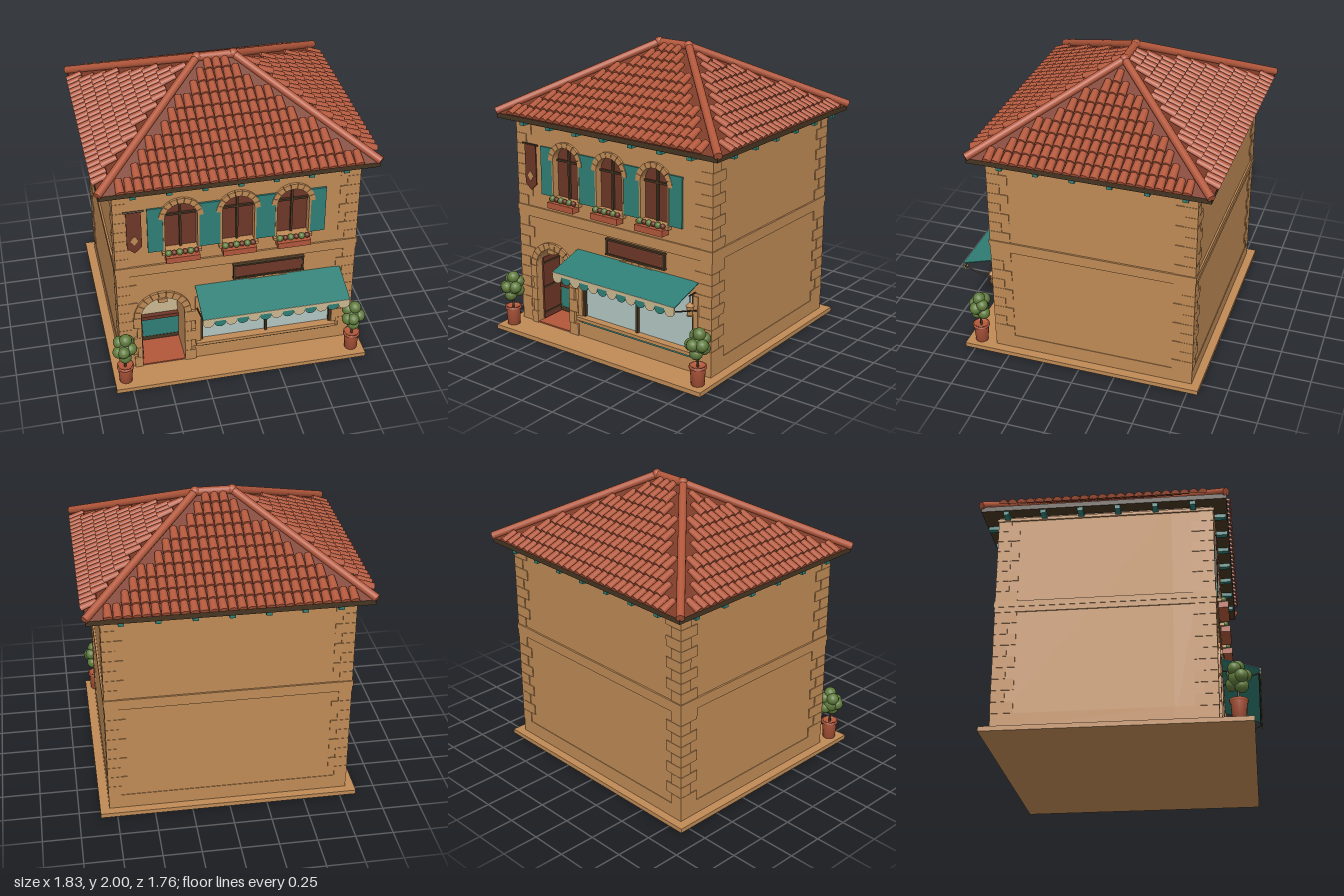
import * as THREE from 'three';
import { mergeGeometries } from 'three/addons/utils/BufferGeometryUtils.js';

const mat = (name, color, side = THREE.FrontSide) => {
  const m = new THREE.MeshStandardMaterial({ color, side });
  m.name = name;
  return m;
};

export function createModel() {
  const root = new THREE.Group();
  root.name = 'cornerShopHouse';
  const stone = mat('tan stone', 0xc08b56);
  const tile = mat('terracotta', 0xb2573b);
  const underTile = mat('dark terracotta', 0x7d3b28);
  const wood = mat('dark wood', 0x463522);
  const teal = mat('teal paint', 0x2f7f76);
  const maroon = mat('maroon', 0x6e3628);
  const glass = mat('pale glass', 0xb3c6c2);
  const cream = mat('cream', 0xcab790);
  const leaf = mat('leaf green', 0x5f7a3c);

  const add = (name, geo, m, x = 0, y = 0, z = 0) => {
    const mesh = new THREE.Mesh(geo, m);
    mesh.name = name;
    mesh.position.set(x, y, z);
    root.add(mesh);
    return mesh;
  };
  // Box from its minimum and maximum corners
  const box = (name, m, x0, x1, y0, y1, z0, z1) =>
    add(name, new THREE.BoxGeometry(x1 - x0, y1 - y0, z1 - z0), m, (x0 + x1) / 2, (y0 + y1) / 2, (z0 + z1) / 2);
  const extrude = (name, m, shape, z, depth) =>
    add(name, new THREE.ExtrudeGeometry(shape, { depth, bevelEnabled: false, curveSegments: 16 }), m, 0, 0, z);
  const rod = (name, m, a, b, r, sides = 12) => {
    const A = new THREE.Vector3(...a), d = new THREE.Vector3(...b).sub(A);
    const mesh = add(name, new THREE.CylinderGeometry(r, r, d.length(), sides), m);
    mesh.position.copy(A).addScaledVector(d, 0.5);
    mesh.quaternion.setFromUnitVectors(new THREE.Vector3(0, 1, 0), d.normalize());
    return mesh;
  };
  const ball = (name, m, r, x, y, z) => add(name, new THREE.SphereGeometry(r, 14, 10), m, x, y, z);
  const polygon = pts => new THREE.Shape(pts.map(p => new THREE.Vector2(...p)));
  const arch = (cx, hw, y0, spring) => {
    const s = new THREE.Shape();
    s.moveTo(cx - hw, y0);
    s.lineTo(cx + hw, y0);
    s.lineTo(cx + hw, spring);
    s.absarc(cx, spring, hw, 0, Math.PI, false);
    s.closePath();
    return s;
  };
  // Ring of wedge stones over an arch
  const voussoirs = (name, cx, cy, r0, r1, n, z, depth, from = 0, span = Math.PI) => {
    for (let i = 0; i < n; i++) {
      const a = from + span * (i + 0.03) / n, b = from + span * (i + 0.97) / n;
      const s = new THREE.Shape();
      s.absarc(cx, cy, r1, a, b, false);
      s.absarc(cx, cy, r0, b, a, true);
      s.closePath();
      extrude(name, stone, s, z, depth);
    }
  };

  // Ground slab and walls; the front wall is pierced
  const X = 0.795, ZB = -0.76, ZM = 0.35, ZF = 0.61;
  const winX = [-0.37, 0, 0.36];
  box('groundSlab', stone, -0.86, 0.86, 0, 0.03, -0.82, 0.82);
  box('wallBody', stone, -X, X, 0.03, 1.49, ZB, ZM);
  const front = polygon([[-X, 0.03], [X, 0.03], [X, 1.49], [-X, 1.49]]);
  front.holes.push(arch(-0.505, 0.145, 0.035, 0.455),
    polygon([[-0.25, 0.17], [0.665, 0.17], [0.665, 0.56], [-0.25, 0.56]]),
    ...winX.map(x => arch(x, 0.105, 0.97, 1.235)));
  extrude('frontWall', stone, front, ZM, ZF - ZM);

  // Plinth, floor band and cornice
  box('plinth', stone, -X - 0.004, X + 0.004, 0.03, 0.13, ZB - 0.004, ZM);
  box('plinthFront', stone, -X - 0.004, -0.66, 0.03, 0.13, ZM, ZF + 0.004);
  box('plinthFront', stone, -0.35, X + 0.004, 0.03, 0.13, ZM + 0.2, ZF + 0.004);
  box('plinthSide', stone, X - 0.05, X + 0.004, 0.03, 0.13, ZM, ZF);
  box('floorBand', stone, -X - 0.008, X + 0.008, 0.805, 0.84, ZB - 0.008, ZF + 0.008);
  box('floorBandCap', stone, -X - 0.012, X + 0.012, 0.84, 0.88, ZB - 0.012, ZF + 0.012);
  box('cornice', stone, -X - 0.012, X + 0.012, 1.455, 1.475, ZB - 0.012, ZF + 0.012);

  // Corner stones, alternating long and short
  for (const [y0, y1, n] of [[0.13, 0.805, 9], [0.88, 1.455, 8]])
    for (let i = 0; i < n; i++) {
      const h = (y1 - y0) / n, y = y0 + i * h, a = i % 2 ? 0.125 : 0.08, b = i % 2 ? 0.08 : 0.135, p = 0.006;
      for (const s of [-1, 1]) {
        const xa = s < 0 ? -X - p : X - a, xb = s < 0 ? -X + a : X + p;
        box('cornerStone', stone, xa, xb, y + 0.001, y + h - 0.001, ZF - b, ZF + p);
        box('cornerStone', stone, xa, xb, y + 0.001, y + h - 0.001, ZB - p, ZB + b);
      }
    }

  // Doorway: interior bands, floor, open leaf and stone surround
  const dx0 = -0.65, dx1 = -0.36;
  extrude('interiorWall', cream, arch(-0.505, 0.144, 0.25, 0.455), ZM + 0.001, 0.005);
  box('counterTop', maroon, dx0, dx1, 0.222, 0.25, ZM, ZM + 0.04);
  box('counter', teal, dx0, dx1, 0.07, 0.222, ZM, ZM + 0.03);
  box('counterBase', wood, dx0, dx1, 0.035, 0.07, ZM, ZM + 0.032);
  box('doorFloor', tile, dx0, dx1, 0.03, 0.039, ZM, ZF + 0.01);
  box('doorLeaf', maroon, dx0, dx0 + 0.012, 0.045, 0.5, ZM + 0.05, ZF - 0.04);
  for (const y of [0.08, 0.27, 0.45]) box('doorRail', wood, dx0 + 0.012, dx0 + 0.016, y, y + 0.015, ZM + 0.05, ZF - 0.04);
  voussoirs('doorArchStone', -0.505, 0.455, 0.145, 0.192, 11, ZF - 0.01, 0.028);
  box('doorKeystone', stone, -0.535, -0.475, 0.575, 0.605, ZF - 0.02, ZF + 0.03);
  for (let i = 0; i < 5; i++) {
    const y = 0.03 + i * 0.085, w = i % 2 ? 0.045 : 0.075;
    box('doorJambStone', stone, dx1, dx1 + w, y, y + 0.083, ZF - 0.01, ZF + 0.018);
    box('doorJambStone', stone, dx0 - w * 0.7, dx0, y, y + 0.083, ZF - 0.01, ZF + 0.018);
  }

  // Shop window
  box('shopGlass', glass, -0.25, 0.665, 0.17, 0.56, ZF - 0.03, ZF - 0.022);
  for (const x of [-0.242, 0.205, 0.655]) box('shopMullion', wood, x - 0.008, x + 0.008, 0.17, 0.56, ZF - 0.025, ZF);
  for (const x of [-0.268, 0.682]) box('shopJamb', stone, x - 0.018, x + 0.018, 0.18, 0.56, ZF - 0.01, ZF + 0.012);
  box('shopSill', stone, -0.285, 0.69, 0.155, 0.178, ZF - 0.02, ZF + 0.035);
  box('shopApron', teal, -0.25, 0.665, 0.132, 0.155, ZF, ZF + 0.012);
  voussoirs('reliefArchStone', 0.206, 0.13, 0.515, 0.542, 7, ZF - 0.005, 0.014, Math.PI / 2 - 0.37, 0.74);

  // Awning with scalloped valance and braces
  const ax0 = -0.285, ax1 = 0.7, n = 13, w = (ax1 - ax0) / n;
  const sheet = add('awningSheet', new THREE.BoxGeometry(ax1 - ax0, 0.006, Math.hypot(0.257, 0.08)), teal, (ax0 + ax1) / 2, 0.614, 0.74);
  sheet.rotation.x = Math.atan2(0.08, 0.257);
  box('valanceBand', cream, ax0, ax1, 0.555, 0.576, 0.864, 0.872);
  for (let i = 0; i < n; i++) {
    const s = new THREE.Shape(), cx = ax0 + (i + 0.5) * w;
    s.moveTo(cx + w / 2, 0.558);
    s.lineTo(cx - w / 2, 0.558);
    s.lineTo(cx - w / 2, 0.545);
    s.absarc(cx, 0.545, w / 2, Math.PI, Math.PI * 2, false);
    s.closePath();
    extrude('scallop', i % 2 ? teal : cream, s, 0.865, 0.006);
  }
  for (const x of [ax0 + 0.01, ax1 - 0.01]) rod('awningBrace', wood, [x, 0.465, ZF], [x, 0.545, 0.865], 0.005, 8);
  rod('awningBar', wood, [ax0, 0.548, 0.86], [ax1, 0.548, 0.86], 0.005, 8);

  // Wall lanterns
  for (const x of [-0.24, 0.675]) {
    rod('lanternBracket', wood, [x, 0.583, ZF], [x, 0.583, 0.68], 0.005, 8);
    rod('lanternHook', wood, [x, 0.54, 0.67], [x, 0.583, 0.67], 0.004, 6);
    add('lanternBody', new THREE.CylinderGeometry(0.022, 0.018, 0.06, 6), stone, x, 0.483, 0.67);
    add('lanternCap', new THREE.CylinderGeometry(0.005, 0.03, 0.025, 6), stone, x, 0.525, 0.67);
    add('lanternFoot', new THREE.CylinderGeometry(0.023, 0.023, 0.008, 6), stone, x, 0.45, 0.67);
  }

  // Blank sign board
  box('signPanel', maroon, -0.025, 0.44, 0.69, 0.785, ZF, ZF + 0.016);
  for (const y of [0.68, 0.783]) box('signRail', wood, -0.032, 0.447, y, y + 0.012, ZF, ZF + 0.024);
  for (const x of [-0.03, 0.433]) box('signStile', wood, x, x + 0.012, 0.685, 0.79, ZF, ZF + 0.022);
  for (const x of [0, 0.415]) for (const y of [0.705, 0.77]) ball('signStud', cream, 0.005, x, y, ZF + 0.016);

  // Upper windows with shutters and planters
  winX.forEach((x, k) => {
    extrude('windowPane', maroon, arch(x, 0.105, 0.97, 1.235), ZF - 0.045, 0.008);
    box('windowMullion', wood, x - 0.007, x + 0.007, 0.97, 1.335, ZF - 0.04, ZF - 0.02);
    box('windowTransom', wood, x - 0.104, x + 0.104, 1.23, 1.243, ZF - 0.04, ZF - 0.022);
    voussoirs('windowArchStone', x, 1.235, 0.105, 0.143, 9, ZF - 0.005, 0.022);
    box('windowSill', stone, x - 0.128, x + 0.128, 0.963, 0.983, ZF - 0.04, ZF + 0.035);
    for (const s of [-1, 1]) {
      box('windowJamb', stone, x + s * 0.111 - 0.006, x + s * 0.111 + 0.006, 0.98, 1.235, ZF - 0.005, ZF + 0.015);
      const z = ZF + 0.012 + ((k * 2 + s) % 3) * 0.001;
      box('shutter', teal, x + s * 0.166 - 0.05, x + s * 0.166 + 0.05, 0.985, 1.32, ZF, z);
    }
    box('planter', tile, x - 0.11, x + 0.11, 0.925, 0.967, ZF + 0.01, 0.685);
    for (let i = 0; i < 6; i++)
      ball('planterPlant', i % 2 ? maroon : leaf, i % 2 ? 0.018 : 0.022, x - 0.09 + i * 0.036, 0.985, 0.652);
  });

  // Hanging banner
  rod('bannerRod', wood, [-0.74, 1.32, ZF + 0.015], [-0.605, 1.32, ZF + 0.015], 0.006, 8);
  extrude('banner', maroon, polygon([[-0.72, 1.32], [-0.72, 1.045], [-0.672, 1.0], [-0.624, 1.045], [-0.624, 1.32]]), ZF + 0.01, 0.008);
  extrude('bannerDiamond', stone, polygon([[-0.672, 1.065], [-0.645, 1.1], [-0.672, 1.135], [-0.699, 1.1]]), ZF + 0.018, 0.003);

  // Eaves board and rafter ends
  const RZ = -0.08, EX = 0.89, EZ = 0.785, EY = 1.52, RY = 1.95, RX = 0.12;
  box('eavesBoard', wood, -EX, EX, 1.487, EY, RZ - EZ, RZ + EZ);
  for (let i = -3; i <= 3; i++) {
    box('rafterEnd', teal, i * 0.226 - 0.018, i * 0.226 + 0.018, 1.462, 1.488, ZF, 0.695);
    box('rafterEnd', teal, i * 0.226 - 0.018, i * 0.226 + 0.018, 1.462, 1.488, -0.855, ZB);
  }
  for (let i = 0; i < 6; i++) {
    const z = -0.705 + i * 0.239;
    for (const s of [-1, 1]) box('rafterEnd', teal, s < 0 ? -0.88 : X, s < 0 ? -X : 0.88, 1.462, 1.488, z - 0.018, z + 0.018);
  }

  // Hipped roof deck
  const c = [[-EX, EY, EZ], [EX, EY, EZ], [EX, EY, -EZ], [-EX, EY, -EZ]], L = [-RX, RY, 0], R = [RX, RY, 0];
  const tris = [c[0], c[1], R, c[0], R, L, c[1], c[2], R, c[2], c[3], L, c[2], L, R, c[3], c[0], L];
  const deck = new THREE.BufferGeometry();
  deck.setAttribute('position', new THREE.Float32BufferAttribute(tris.flat(), 3));
  deck.computeVertexNormals();
  add('roofDeck', deck, underTile, 0, 0, RZ);

  // Barrel tiles laid in stepped rows on all four slopes
  const tiles = [], rows = 10, len = 0.108;
  const barrel = new THREE.CylinderGeometry(0.029, 0.023, len, 8, 1, false, Math.PI / 2, Math.PI).rotateX(Math.PI / 2).rotateX(-0.1);
  for (let side = 0; side < 4; side++) {
    const odd = side % 2, eave = odd ? EX : EZ, top = odd ? RX : 0, half = odd ? EZ : EX, ridge = odd ? 0 : RX;
    const slope = Math.atan2(RY - EY, eave - top), cols = Math.floor(half / 0.058);
    for (let r = 0; r < rows; r++) {
      const t = (r + 0.55) / rows, limit = half + (ridge - half) * (r + 1) / rows - 0.03;
      for (let i = -cols; i <= cols; i++) {
        if (Math.abs(i * 0.058) + 0.02 > limit) continue;
        tiles.push(barrel.clone().rotateX(slope)
          .translate(i * 0.058, EY + (RY - EY) * t + 0.006, eave + (top - eave) * t + 0.008).rotateY(side * Math.PI / 2));
      }
    }
  }
  add('roofTiles', mergeGeometries(tiles), tile, 0, 0, RZ);

  // Hip and ridge caps
  rod('ridgeCap', tile, [-RX, 1.965, RZ], [RX, 1.965, RZ], 0.027, 16);
  for (const s of [-1, 1]) {
    ball('ridgeEnd', tile, 0.033, s * RX, 1.966, RZ);
    for (const q of [-1, 1]) rod('hipCap', tile, [s * RX, 1.965, RZ], [s * 0.895, 1.53, RZ + q * 0.785], 0.026, 16);
  }

  // Potted bushes either side of the front
  const pot = [[0, 0], [0.043, 0], [0.05, 0.115], [0.057, 0.115], [0.057, 0.132], [0.046, 0.132], [0.044, 0.12], [0, 0.12]];
  const clumps = [[0, 0.3, 0, 0.06], [-0.04, 0.3, 0.02, 0.042], [0.04, 0.31, 0.015, 0.042], [0, 0.25, 0.02, 0.043],
    [0.02, 0.27, -0.035, 0.042], [-0.03, 0.35, -0.02, 0.042], [0.01, 0.375, 0, 0.042], [0.03, 0.34, -0.03, 0.04], [-0.01, 0.31, 0.045, 0.04]];
  for (const x of [-0.785, 0.78]) {
    add('pot', new THREE.LatheGeometry(pot.map(p => new THREE.Vector2(...p)), 20), tile, x, 0.03, 0.73);
    rod('bushStem', wood, [x, 0.14, 0.73], [x, 0.28, 0.73], 0.008, 8);
    for (const [dx, y, dz, r] of clumps) ball('bushLeaves', leaf, r, x + dx, y, 0.73 + dz);
  }
  return root;
}
